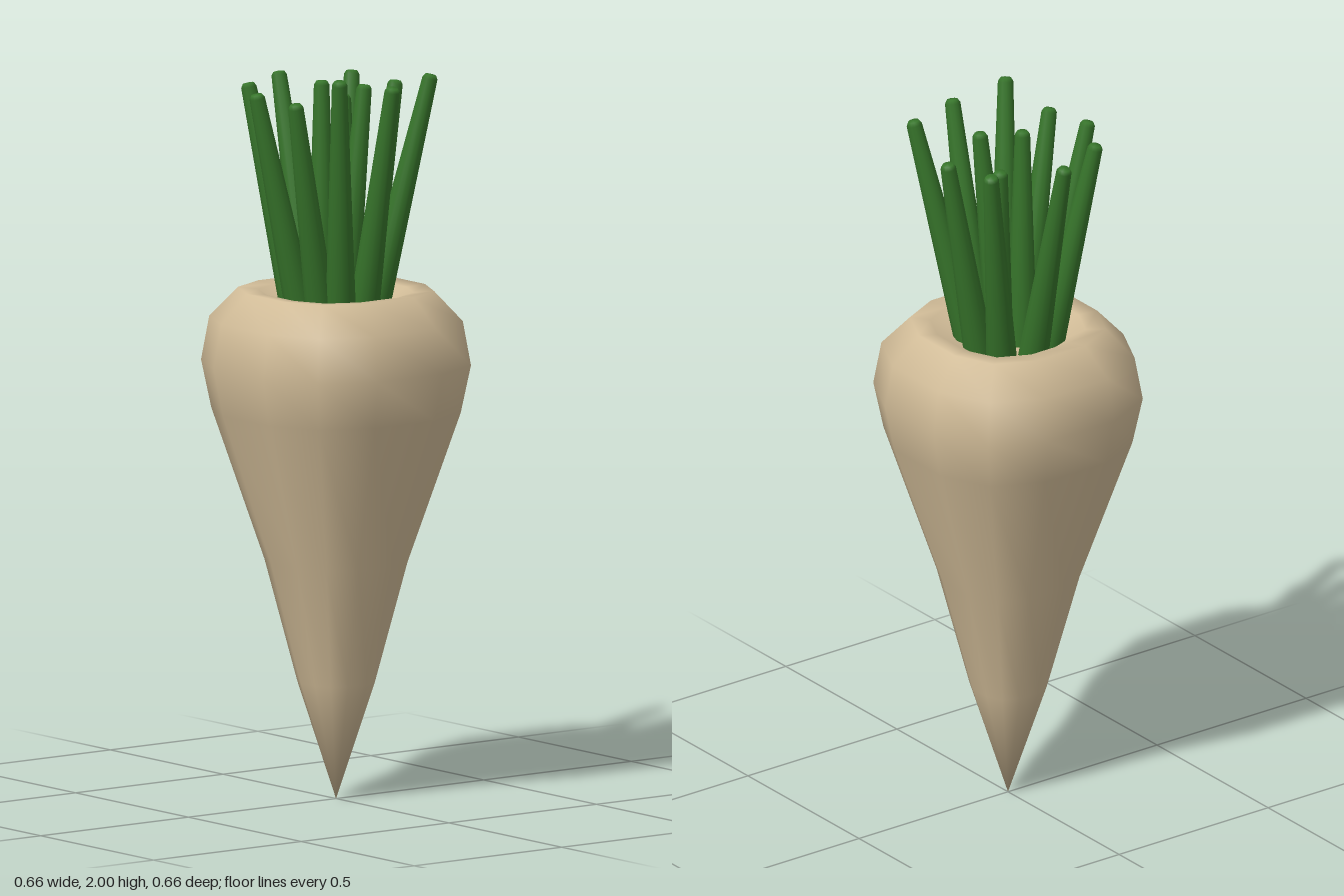
import * as THREE from 'three';
import { mergeVertices } from 'three/addons/utils/BufferGeometryUtils.js';

const rootMaterial = new THREE.MeshStandardMaterial({ color: 0xd0bb97 });
const stalkMaterial = new THREE.MeshStandardMaterial({ color: 0x37752b });

// Tapered root: a 12-sided profile pushed out to a rounded square section
function makeRoot() {
  const profile = [
    [0, 0], [0.095, 0.32], [0.175, 0.65], [0.305, 1.06], [0.33, 1.19],
    [0.31, 1.31], [0.24, 1.39], [0.19, 1.385], [0.13, 1.345], [0, 1.33],
  ].map(([r, y]) => new THREE.Vector2(r, y));
  const geometry = new THREE.LatheGeometry(profile, 12, Math.PI / 12);
  const corner = [[0.333, 1], [0.785, 0.785], [1, 0.333]];
  const pos = geometry.attributes.position;
  for (let i = 0; i < pos.count; i++) {
    const side = Math.floor(i / profile.length) % 12;
    const r = profile[i % profile.length].x;
    const [cx, cz] = corner[side % 3];
    const turn = Math.floor(side / 3) * Math.PI / 2;
    const c = Math.round(Math.cos(turn)), s = Math.round(Math.sin(turn));
    pos.setX(i, r * (cx * c + cz * s));
    pos.setZ(i, r * (cz * c - cx * s));
  }
  // Weld the seam so the shading is smooth all round
  geometry.deleteAttribute('uv');
  geometry.deleteAttribute('normal');
  const welded = mergeVertices(geometry);
  welded.computeVertexNormals();
  const mesh = new THREE.Mesh(welded, rootMaterial);
  mesh.name = 'root';
  return mesh;
}

// Tapered stalk with a slightly rounded tip, running from base to tip
function makeStalk(base, tip) {
  const axis = tip.clone().sub(base);
  const h = axis.length();
  const profile = [
    [0, 0], [0.042, 0], [0.021, h - 0.012], [0.015, h - 0.002], [0, h],
  ].map(([r, y]) => new THREE.Vector2(r, y));
  const mesh = new THREE.Mesh(new THREE.LatheGeometry(profile, 12), stalkMaterial);
  mesh.position.copy(base);
  mesh.quaternion.setFromUnitVectors(new THREE.Vector3(0, 1, 0), axis.normalize());
  mesh.name = 'stalk';
  return mesh;
}

export function createModel() {
  const model = new THREE.Group();
  model.name = 'rootVegetable';
  model.add(makeRoot());

  // Stalks: tip x, y, z and base x, z
  const stalks = [
    [-0.265, 1.95, -0.008, -0.11, 0],
    [-0.182, 1.945, -0.193, -0.08, -0.08],
    [-0.03, 1.935, -0.225, -0.015, -0.105],
    [0.172, 1.98, -0.19, 0.065, -0.075],
    [0.238, 1.97, -0.01, 0.1, -0.015],
    [0.212, 2.0, 0.15, 0.1, 0.06],
    [0.105, 1.93, 0.218, 0.055, 0.09],
    [-0.043, 1.94, 0.237, -0.02, 0.1],
    [-0.185, 1.945, 0.157, -0.085, 0.07],
    [-0.092, 1.9, -0.095, -0.03, -0.055],
    [0.054, 1.95, -0.055, 0.03, 0],
    [-0.022, 1.96, 0.032, -0.022, 0.03],
  ];
  const leaves = new THREE.Group();
  leaves.name = 'stalks';
  for (const [x, y, z, bx, bz] of stalks) {
    leaves.add(makeStalk(new THREE.Vector3(bx, 1.32, bz), new THREE.Vector3(x, y, z)));
  }
  model.add(leaves);
  return model;
}
